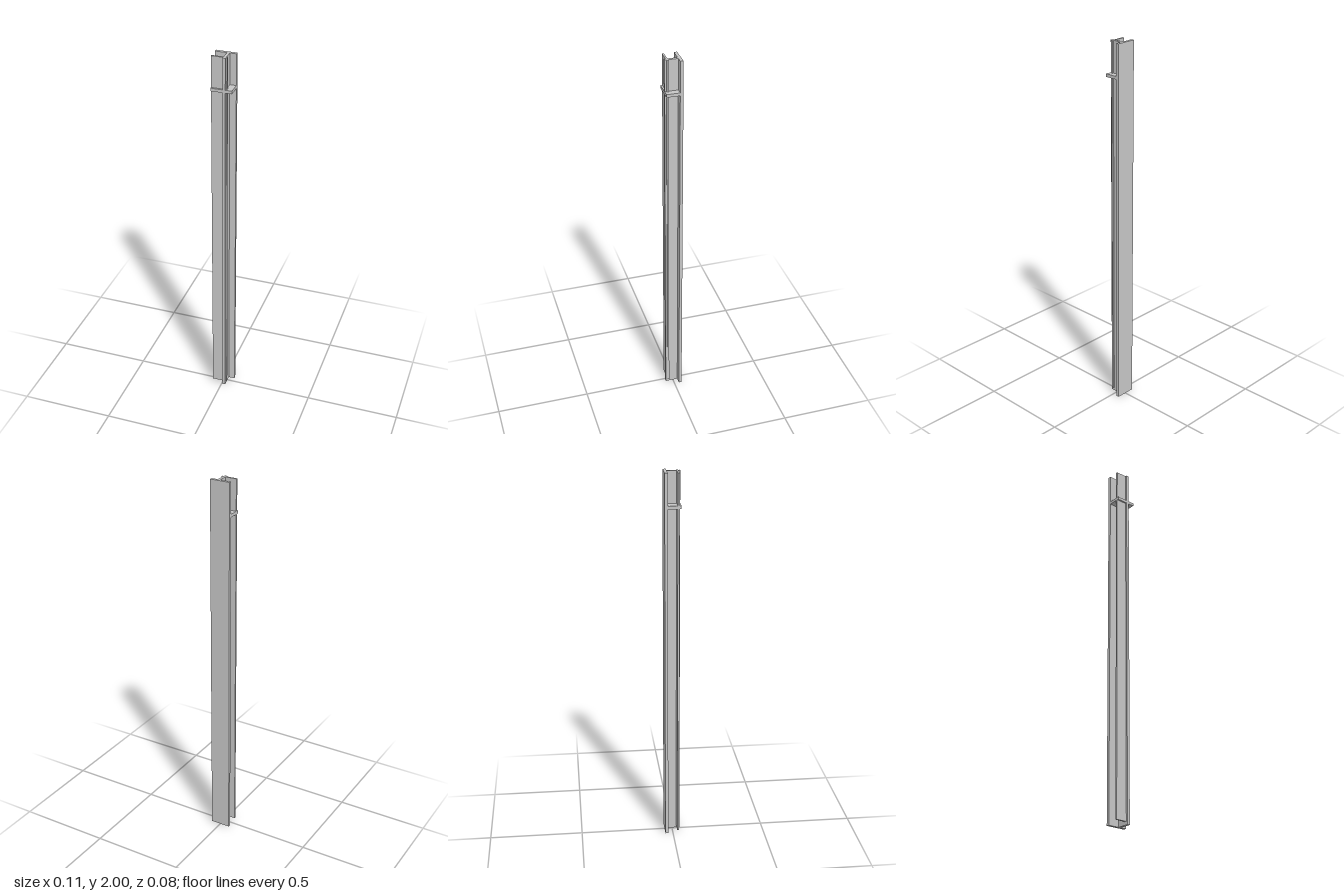
import * as THREE from 'three';

const grey = new THREE.MeshStandardMaterial({ color: 0xc6c6c6 });
grey.name = 'light grey';

// Box given by its lower and upper corners
function block(name, [x0, y0, z0], [x1, y1, z1]) {
  const mesh = new THREE.Mesh(new THREE.BoxGeometry(x1 - x0, y1 - y0, z1 - z0), grey);
  mesh.position.set((x0 + x1) / 2, (y0 + y1) / 2, (z0 + z1) / 2);
  mesh.name = name;
  return mesh;
}

export function createModel() {
  const group = new THREE.Group();
  group.name = 'steelColumn';
  group.add(
    // Wide plate along the whole back
    block('backFlange', [-0.0545, 0, -0.042], [0.0545, 2, -0.026]),
    // Upright rib, slightly off centre, running out past the front flange
    block('web', [0.006, 0, -0.026], [0.021, 2, 0.042]),
    // Front plate: long on one side, a short lip on the other, held off the floor
    block('frontFlange', [-0.0545, 0.017, 0.0235], [0.006, 2, 0.033]),
    block('frontLip', [0.021, 0.017, 0.0235], [0.028, 2, 0.033]),
    // Horizontal stiffener near the top, on both sides of the web
    block('stiffenerRight', [-0.0545, 1.82, -0.026], [0.006, 1.836, 0.042]),
    block('stiffenerLeft', [0.021, 1.82, -0.026], [0.0545, 1.836, 0.042]),
  );
  return group;
}
